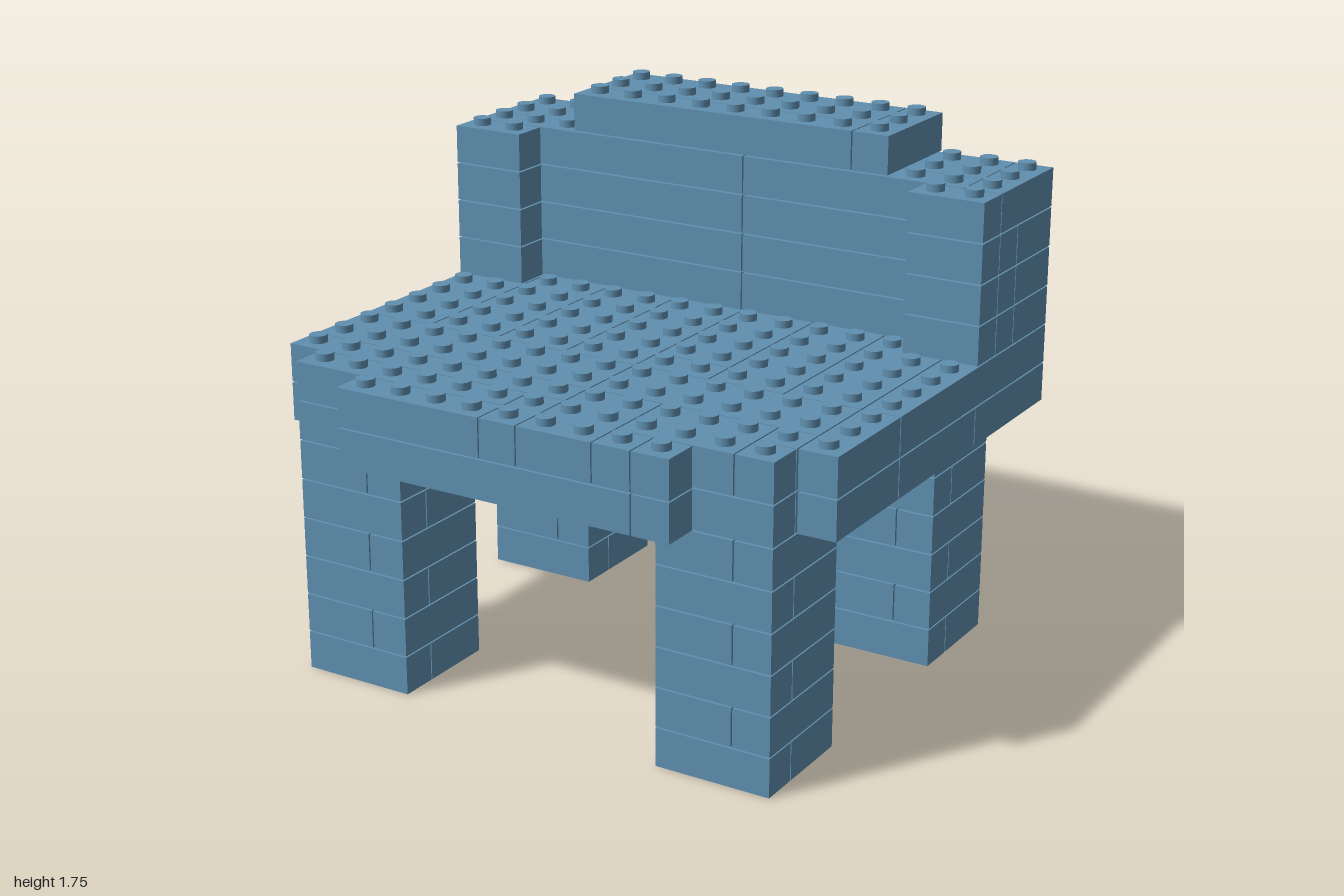
import * as THREE from 'three';
import { mergeGeometries } from 'three/addons/utils/BufferGeometryUtils.js';

const U = 2 / 15;          // one stud pitch, also one course height
const GAP = 0.005;         // joint between neighbouring bricks
const STUD_R = 0.03, STUD_H = 0.02;

// A brick is [x0, x1, z0, z1, course], counted in studs from the back right corner.
const px = i => (i - 7.5) * U;
const pz = k => (k - 7) * U;

// Legs: 3 x 3 studs, the joint turning by 90 degrees on every course
function legBricks(x, z, splitX, splitZ) {
  const bricks = [];
  for (let c = 0; c < 6; c++) {
    if (c % 2) bricks.push([x, splitX, z, z + 3, c], [splitX, x + 3, z, z + 3, c]);
    else bricks.push([x, x + 3, z, splitZ, c], [x, x + 3, splitZ, z + 3, c]);
  }
  return bricks;
}

const course = (c, list) => list.map(b => [...b, c]);

// Backrest: four courses, two staggered rows deep, with short side pillars
function backBricks() {
  const bricks = [];
  for (let c = 8; c < 12; c++) {
    bricks.push(...course(c, [[0, 8, 1, 3], [0, 8, 3, 4]]));
    if (c === 11) bricks.push(...course(c, [[8, 14, 1, 3], [8, 14, 3, 4], [14, 15, 1, 4]]));
    else bricks.push(...course(c, [[8, 15, 1, 3], [8, 15, 3, 4]]));
  }
  return bricks;
}

function pillarBricks(x) {
  return [8, 9, 10, 11].map(c => [x, x + 2, 4, 5, c]);
}

const parts = {
  frontRightLeg: legBricks(1, 10, 3, 12),
  frontLeftLeg: legBricks(11, 10, 13, 12),
  backRightLeg: legBricks(1, 2, 3, 4),
  backLeftLeg: legBricks(11, 2, 13, 4),
  seatBase: course(6, [
    [0, 8, 1, 5], [8, 15, 1, 5], [0, 8, 5, 9], [8, 15, 5, 9],
    [0, 8, 9, 12], [8, 14, 9, 12], [14, 15, 9, 12],
    [1, 11, 12, 13], [11, 14, 12, 13], [3, 11, 13, 14], [11, 12, 13, 14],
  ]),
  seatTop: course(7, [
    [0, 2, 1, 9], [2, 4, 1, 9], [4, 6, 1, 9], [6, 8, 1, 9],
    [8, 10, 1, 8], [8, 10, 8, 9], [10, 12, 1, 9], [12, 14, 1, 9], [14, 15, 1, 9],
    [0, 8, 9, 11], [8, 14, 9, 11], [14, 15, 9, 12], [0, 8, 11, 12],
    [8, 10, 11, 14], [10, 13, 11, 13], [13, 14, 11, 12], [13, 14, 12, 13],
    [1, 7, 12, 13], [7, 8, 12, 14], [3, 7, 13, 14], [10, 11, 13, 14], [11, 12, 13, 14],
  ]),
  rearLedge: [[5, 10, 0, 1, 6], [5, 8, 0, 1, 7], [8, 10, 0, 1, 7]],
  backrest: backBricks(),
  rightPillar: pillarBricks(0),
  leftPillar: pillarBricks(13),
  backrestCap: course(12, [[3, 11, 1, 3], [3, 11, 3, 4], [11, 12, 1, 4]]),
};

export function createModel() {
  const group = new THREE.Group();
  group.name = 'brickChair';
  const blue = new THREE.MeshStandardMaterial({ color: 0x6090b0 });
  blue.name = 'dusty blue';

  // Cells covered by a brick, so that studs appear only on open tops
  const filled = new Set();
  const eachCell = ([x0, x1, z0, z1, c], fn) => {
    for (let i = x0; i < x1; i++) for (let k = z0; k < z1; k++) fn(i, k, c);
  };
  Object.values(parts).flat().forEach(b =>
    eachCell(b, (i, k, c) => filled.add(`${i},${k},${c}`)));

  for (const [name, bricks] of Object.entries(parts)) {
    const boxes = [], studs = [];
    for (const b of bricks) {
      const [x0, x1, z0, z1, c] = b;
      const box = new THREE.BoxGeometry((x1 - x0) * U - GAP, U - GAP, (z1 - z0) * U - GAP);
      box.translate((px(x0) + px(x1)) / 2, c * U + (U - GAP) / 2, (pz(z0) + pz(z1)) / 2);
      boxes.push(box);
      eachCell(b, (i, k) => {
        if (filled.has(`${i},${k},${c + 1}`)) return;
        const stud = new THREE.CylinderGeometry(STUD_R, STUD_R, STUD_H + GAP, 20);
        stud.translate(px(i + 0.5), (c + 1) * U + (STUD_H - GAP) / 2, pz(k + 0.5));
        studs.push(stud);
      });
    }
    const part = new THREE.Group();
    part.name = name;
    for (const [label, list] of [['Bricks', boxes], ['Studs', studs]]) {
      if (!list.length) continue;
      const mesh = new THREE.Mesh(mergeGeometries(list), blue);
      mesh.name = name + label;
      part.add(mesh);
    }
    group.add(part);
  }
  return group;
}
